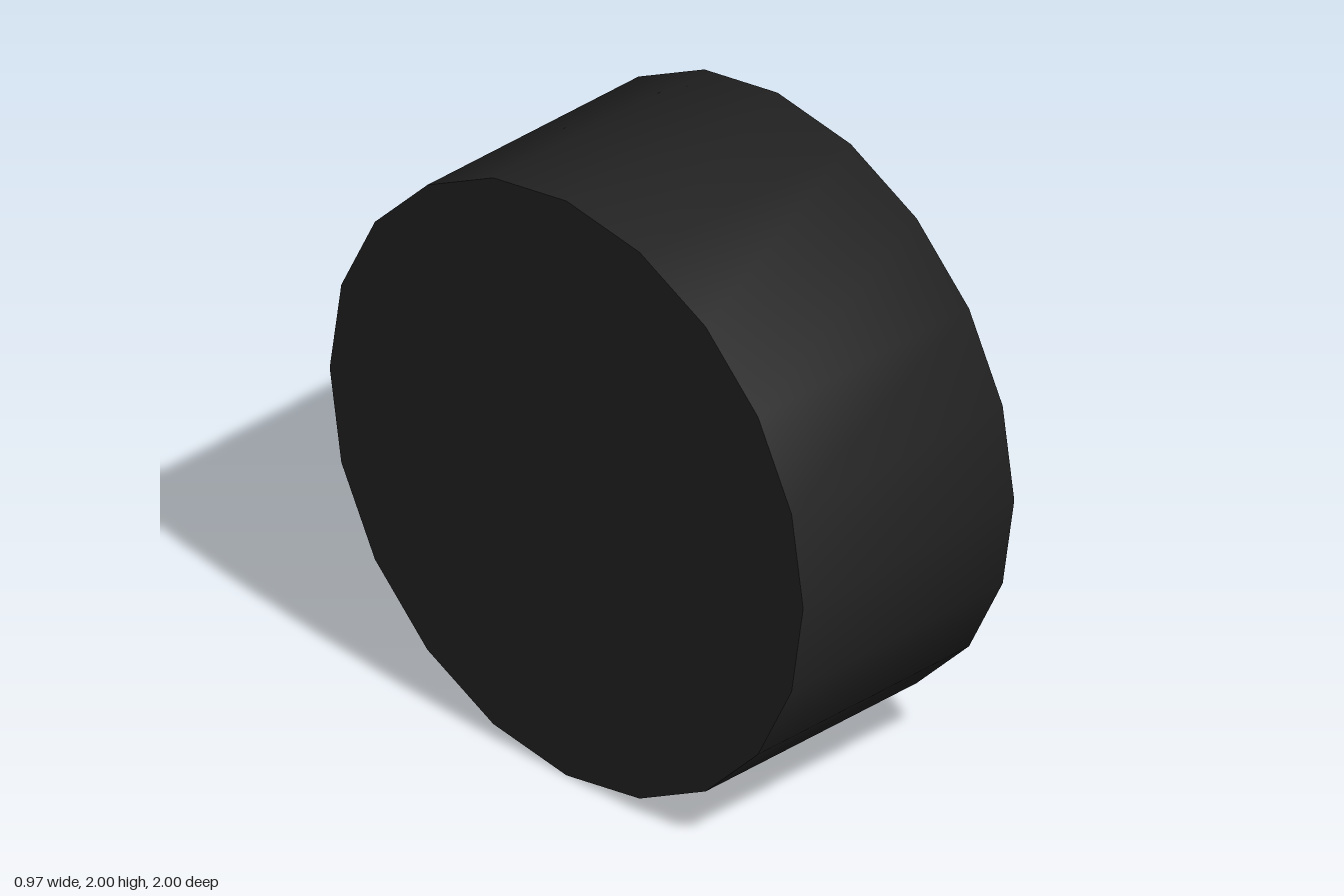
import * as THREE from 'three';
import { toCreasedNormals } from 'three/addons/utils/BufferGeometryUtils.js';

const material = (name, color) => {
  const m = new THREE.MeshStandardMaterial({ color });
  m.name = name;
  return m;
};

export function createModel() {
  const rubber = material('black rubber', 0x242424);
  const rimDark = material('dark rim', 0x232323);
  const red = material('red stripe', 0xd90d0d);
  const brown = material('brown star', 0x523636);
  const brownDark = material('dark brown collar', 0x3a2626);
  const crimson = material('crimson hub', 0xa82238);
  const plum = material('plum hub centre', 0x460e26);

  const wheel = new THREE.Group();
  wheel.name = 'wheel';
  wheel.position.y = 1;

  const add = (name, geometry, mat) => {
    const mesh = new THREE.Mesh(geometry, mat);
    mesh.name = name;
    wheel.add(mesh);
  };

  // Revolved part around the x axle; profile is [radius, x] from back to front
  const turned = (name, profile, mat, crease = 0.5) => {
    const g = new THREE.LatheGeometry(profile.map(([r, x]) => new THREE.Vector2(r, x)), 20);
    g.rotateZ(-Math.PI / 2);
    add(name, toCreasedNormals(g, crease), mat);
  };

  // Tyre with closed back and sloped outer shoulder
  turned('tyre', [[0, -0.485], [1, -0.485], [1, 0.41], [0.83, 0.485]], rubber, 1.25);
  turned('sidewallStripe', [[0.83, 0.485], [0.78, 0.485]], red);

  // Stepped rim barrel and its floor
  turned('rimLip', [[0.78, 0.485], [0.71, 0.41], [0.6, 0.37]], rimDark);
  turned('rimBarrel', [[0.6, 0.37], [0.6, 0.13], [0.255, 0.13]], rimDark);

  // Recessed hub
  turned('hubCollar', [[0.27, 0.22], [0.24, 0.19]], brownDark);
  turned('hubCone', [[0.24, 0.19], [0.2, 0.13], [0.14, 0.08]], crimson);
  turned('hubCentre', [[0.14, 0.08], [0, 0.08]], plum);

  // Flat part facing along the axle, between the floor and the spoke face
  const plate = (name, shape, mat) => {
    const g = new THREE.ExtrudeGeometry(shape, { depth: 0.09, bevelEnabled: false, curveSegments: 20 });
    g.translate(0, 0, 0.13).rotateY(Math.PI / 2);
    add(name, toCreasedNormals(g, 0.5), mat);
  };
  const turn = ([x, y], k) =>
    new THREE.Vector2(x, y).rotateAround(new THREE.Vector2(), (-k * Math.PI * 2) / 5);

  // Star plate around the hub: one arm outline repeated five times
  const arm = [[-0.128, 0.278], [-0.103, 0.315], [-0.09, 0.35], [0, 0.362],
    [0.09, 0.35], [0.103, 0.315], [0.128, 0.278], [0.176, 0.243]];
  const outline = [];
  for (let k = 0; k < 5; k++) outline.push(...arm.map((p) => turn(p, k)));
  const star = new THREE.Shape(outline);
  star.holes.push(new THREE.Path().absarc(0, 0, 0.267, 0, Math.PI * 2, true));
  plate('starPlate', star, brown);

  // Five spokes from the star plate to the barrel
  const spoke = [[-0.09, 0.35], [0, 0.362], [0.09, 0.35], [0.08, 0.41], [0.074, 0.5],
    [0.08, 0.592], [-0.08, 0.592], [-0.074, 0.5], [-0.08, 0.41]];
  for (let k = 0; k < 5; k++) {
    plate('spoke', new THREE.Shape(spoke.map((p) => turn(p, k))), rimDark);
  }

  return wheel;
}
